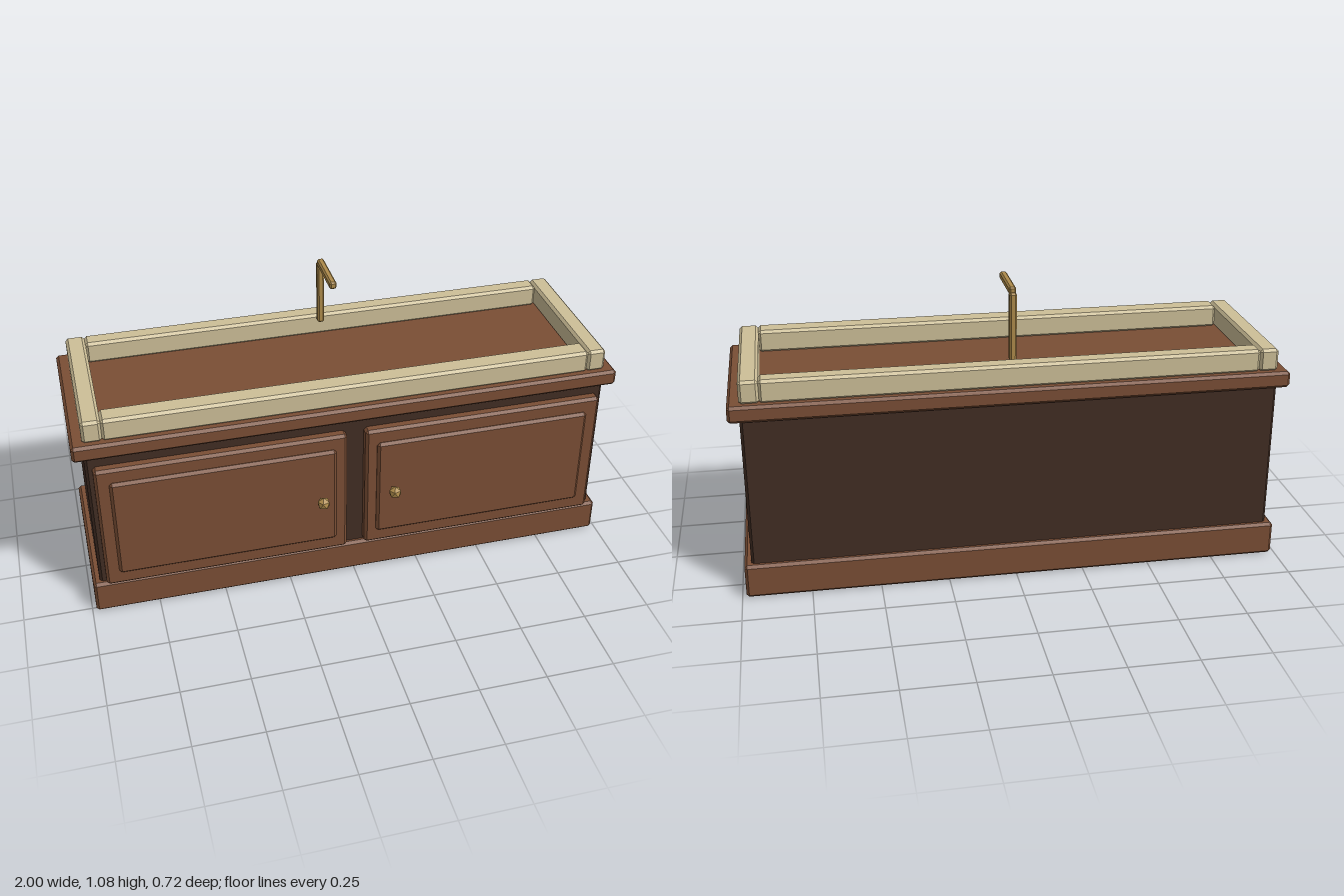
import * as THREE from 'three';
import { ConvexGeometry } from 'three/addons/geometries/ConvexGeometry.js';

// Box between two corners with all edges chamfered by c
function chamferBox([x0, y0, z0], [x1, y1, z1], c) {
  const half = [(x1 - x0) / 2, (y1 - y0) / 2, (z1 - z0) / 2];
  const points = [];
  for (const sx of [-1, 1]) for (const sy of [-1, 1]) for (const sz of [-1, 1]) {
    for (let axis = 0; axis < 3; axis++) {
      const h = half.map((v, i) => (i === axis ? v : v - c));
      points.push(new THREE.Vector3(sx * h[0], sy * h[1], sz * h[2]));
    }
  }
  return new ConvexGeometry(points).translate((x0 + x1) / 2, (y0 + y1) / 2, (z0 + z1) / 2);
}

export function createModel() {
  const group = new THREE.Group();
  const material = (name, color) => {
    const m = new THREE.MeshStandardMaterial({ color });
    m.name = name;
    return m;
  };
  const wood = material('brown wood', 0x7a4e35);
  const darkWood = material('dark wood', 0x412d23);
  const stone = material('cream stone', 0xcdbf98);
  const brass = material('brass', 0xae8b4b);

  const add = (name, geometry, mat) => {
    const mesh = new THREE.Mesh(geometry, mat);
    mesh.name = name;
    group.add(mesh);
    return mesh;
  };
  const box = (name, min, max, mat, c = 0.01) => add(name, chamferBox(min, max, c), mat);

  // Cabinet, plinth and counter
  box('cabinetBody', [-0.96, 0, -0.334], [0.96, 0.7, 0.257], darkWood);
  box('plinth', [-0.985, 0.002, -0.354], [0.985, 0.129, 0.275], wood);
  box('counter', [-1, 0.682, -0.358], [1, 0.743, 0.281], wood);

  // Raised basin rim
  box('rimFront', [-0.89, 0.74, 0.176], [0.89, 0.825, 0.257], stone);
  box('rimBack', [-0.89, 0.74, -0.334], [0.89, 0.825, -0.265], stone);

  for (const [side, s] of [['left', 1], ['right', -1]]) {
    const span = (name, a, b, y0, y1, z0, z1, mat) =>
      box(side + name, [Math.min(s * a, s * b), y0, z0], [Math.max(s * a, s * b), y1, z1], mat);
    span('RimEnd', 0.888, 0.958, 0.74, 0.825, -0.334, 0.257, stone);

    // Door with raised panel
    span('Door', 0.034, 0.936, 0.135, 0.644, 0.25, 0.295, wood);
    span('DoorPanel', 0.076, 0.887, 0.189, 0.59, 0.28, 0.307, wood);

    // Faceted knob, standing on one vertex
    const knob = new THREE.IcosahedronGeometry(0.025, 0);
    knob.rotateZ(Math.atan(2 / (1 + Math.sqrt(5))));
    add(side + 'Knob', knob, brass).position.set(s * 0.135, 0.39, 0.34);
  }

  // Faucet
  box('faucetPost', [-0.013, 0.81, -0.256], [0.013, 1.06, -0.228], brass, 0.006);
  box('faucetSpout', [-0.013, 1.05, -0.241], [0.013, 1.078, -0.041], brass, 0.006);

  return group;
}
